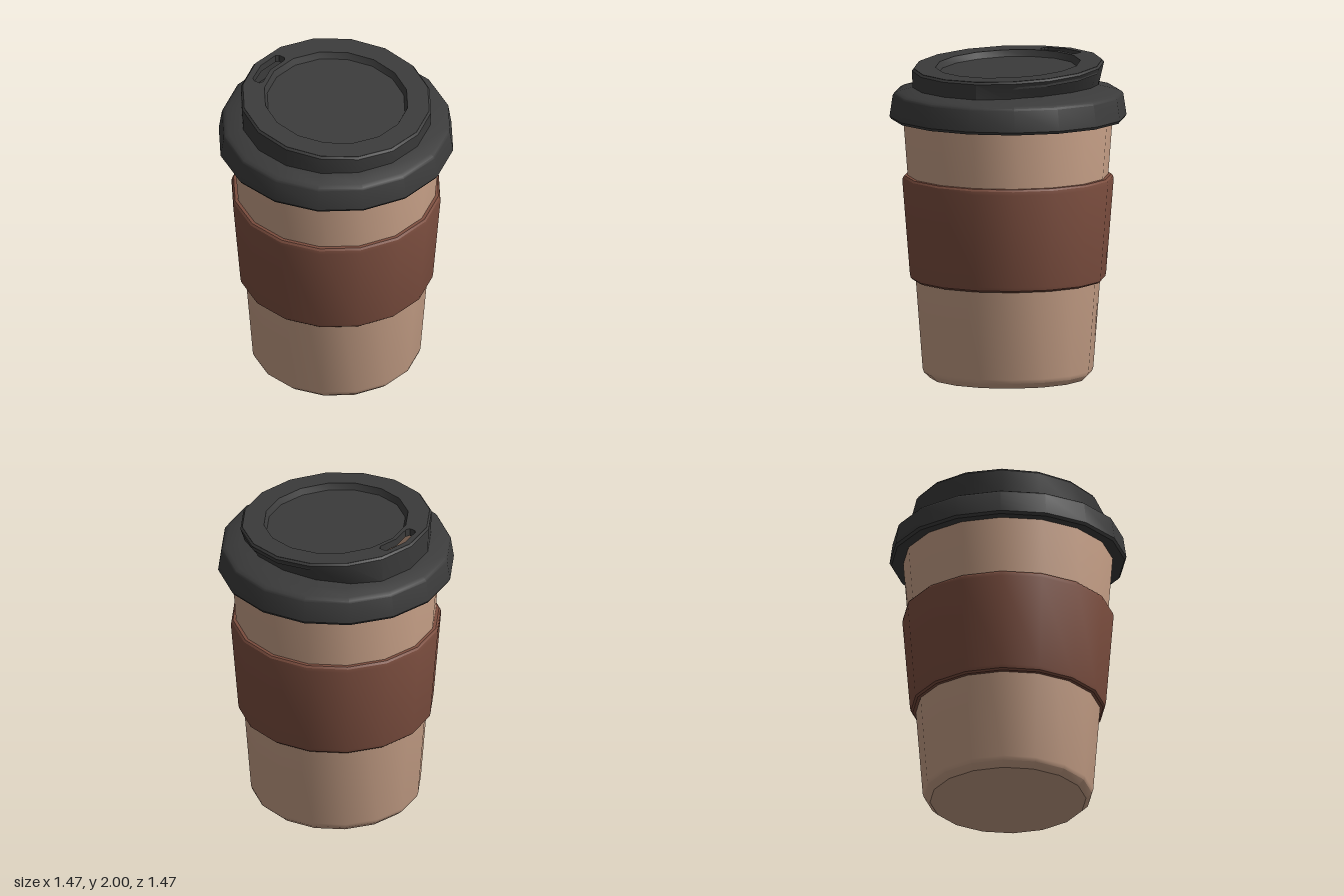
import * as THREE from 'three';
import { toCreasedNormals } from 'three/addons/utils/BufferGeometryUtils.js';

const SIDES = 16;
const CREASE = 0.5;

const material = (color) => new THREE.MeshStandardMaterial({ color, side: THREE.DoubleSide });

// Revolves [radius, height] pairs; an optional rule moves each vertex.
function lathe(profile, rule) {
  const points = profile.map(([r, y]) => new THREE.Vector2(r, y));
  return bend(new THREE.LatheGeometry(points, SIDES), rule);
}

function bend(geometry, rule) {
  if (rule) {
    const p = geometry.attributes.position;
    const v = new THREE.Vector3();
    for (let i = 0; i < p.count; i++) {
      rule(v.fromBufferAttribute(p, i));
      p.setXYZ(i, v.x, v.y, v.z);
    }
  }
  return toCreasedNormals(geometry, CREASE);
}

function polygon(radius) {
  return Array.from({ length: SIDES }, (_, i) => {
    const a = (i / SIDES) * Math.PI * 2;
    return new THREE.Vector2(Math.cos(a) * radius, Math.sin(a) * radius);
  });
}

export function createModel() {
  const group = new THREE.Group();
  const add = (name, geometry, mat, parent = group) => {
    const mesh = new THREE.Mesh(geometry, mat);
    mesh.name = name;
    parent.add(mesh);
  };
  const cupMat = material(0xc8a188);
  const sleeveMat = material(0x7c4e3f);
  const lidMat = material(0x3b3b3b);

  // Hollow tapered cup with a bevelled foot
  add('cup', lathe([
    [0, 0], [0.485, 0], [0.522, 0.035], [0.53, 0.06], [0.653, 1.66],
    [0.65, 1.7], [0.62, 1.7], [0.5, 0.06], [0, 0.06],
  ]), cupMat);

  // Grip sleeve with rounded edges
  add('sleeve', lathe([
    [0.565, 0.615], [0.592, 0.617], [0.604, 0.628], [0.609, 0.65],
    [0.656, 1.235], [0.653, 1.258], [0.643, 1.27], [0.615, 1.272],
  ]), sleeveMat);

  const lid = new THREE.Group();
  lid.name = 'lid';
  group.add(lid);

  // The lid top slopes down towards +x
  const tilt = (v) => { v.y -= 0.058 * v.x; };

  // Overhanging flange
  add('lidFlange', lathe([
    [0.635, 1.635], [0.725, 1.625], [0.736, 1.642], [0.716, 1.775],
    [0.708, 1.787], [0.685, 1.8], [0.6, 1.82], [0.5, 1.842],
  ]), lidMat, lid);

  // Raised wall, its foot tucked in at the back
  add('lidWall', lathe([[0.592, 1.815], [0.597, 1.95], [0.583, 1.965]], (v) => {
    if (v.y > 1.9) tilt(v);
    else v.z += 0.08 * THREE.MathUtils.clamp((-v.z - 0.23) / 0.36, 0, 1);
  }), lidMat, lid);

  // Top rim with the drinking slot
  const rim = new THREE.Shape(polygon(0.585));
  rim.holes.push(new THREE.Path(polygon(0.45)));
  const slot = [
    [-0.465, 0.15], [-0.505, 0.15], [-0.522, 0.135], [-0.546, 0], [-0.522, -0.135],
    [-0.505, -0.15], [-0.465, -0.15], [-0.453, -0.125], [-0.477, 0], [-0.453, 0.125],
  ];
  rim.holes.push(new THREE.Path(slot.map(([x, y]) => new THREE.Vector2(x, y))));
  const rimGeometry = new THREE.ExtrudeGeometry(rim, { depth: 0.05, bevelEnabled: false });
  rimGeometry.rotateX(-Math.PI / 2).translate(0, 1.915, 0);
  add('lidRim', bend(rimGeometry, tilt), lidMat, lid);

  // Sunken centre panel
  add('lidPanel', lathe([[0.45, 1.963], [0.432, 1.925], [0, 1.925]], tilt), lidMat, lid);

  return group;
}
